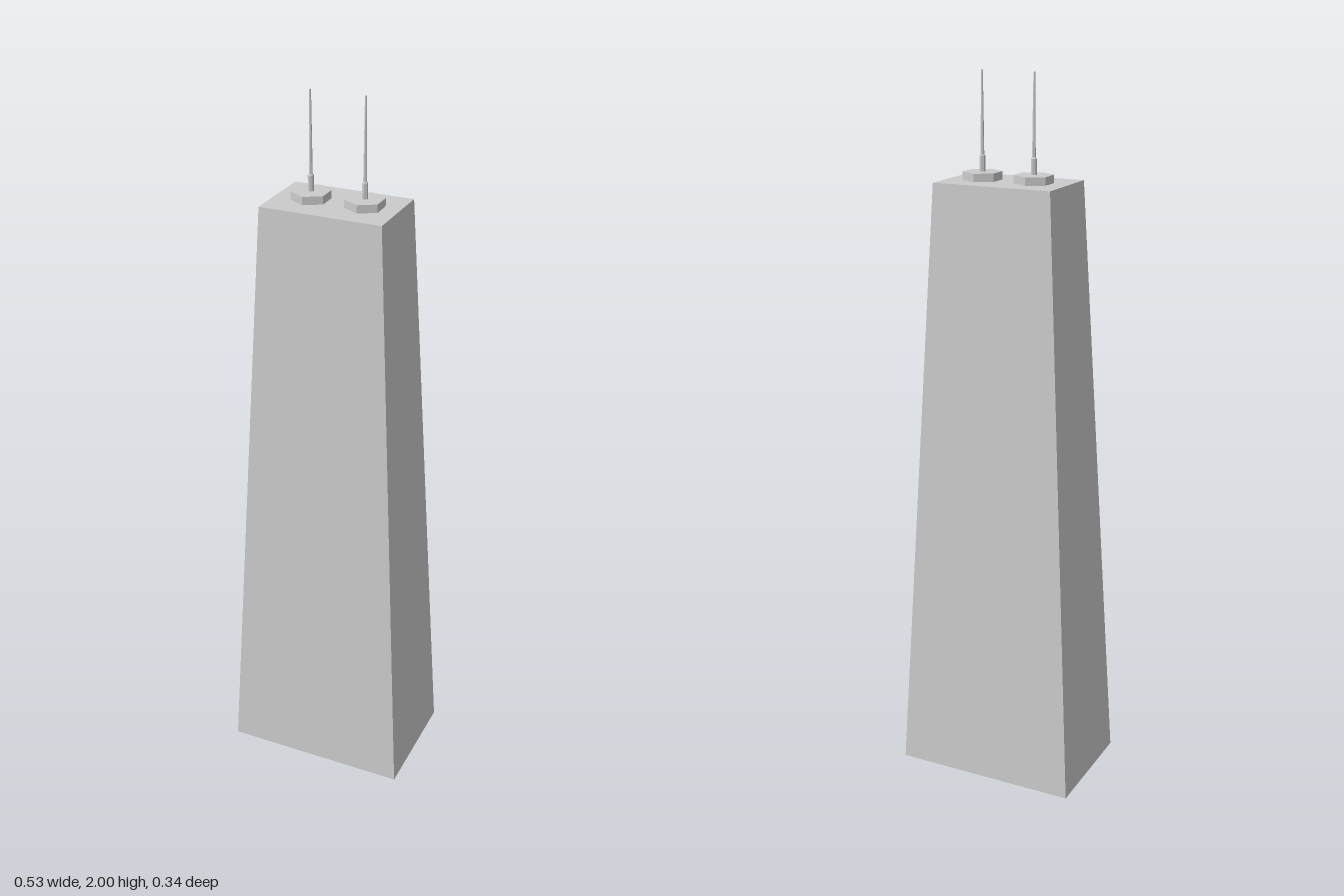
import * as THREE from 'three';

const BASE_W = 0.528, BASE_D = 0.337, ROOF_Y = 1.715, TAPER = 0.643;

const material = new THREE.MeshStandardMaterial({
  color: 0xcccccc, flatShading: true, side: THREE.DoubleSide,
});

function addMesh(parent, name, geometry, x = 0, y = 0, z = 0) {
  const mesh = new THREE.Mesh(geometry, material);
  mesh.name = name;
  mesh.position.set(x, y, z);
  parent.add(mesh);
  return mesh;
}

// Tapered box shell, open underneath
function towerGeometry() {
  const geo = new THREE.BoxGeometry(BASE_W, ROOF_Y, BASE_D);
  geo.translate(0, ROOF_Y / 2, 0);
  const p = geo.attributes.position;
  for (let i = 0; i < p.count; i++) {
    const s = THREE.MathUtils.lerp(1, TAPER, p.getY(i) / ROOF_Y);
    p.setX(i, p.getX(i) * s);
    p.setZ(i, p.getZ(i) * s);
  }
  // Drop the bottom face, the fourth side of the box
  const index = Array.from(geo.index.array);
  index.splice(18, 6);
  geo.setIndex(index);
  geo.clearGroups();
  geo.computeVertexNormals();
  return geo;
}

export function createModel() {
  const model = new THREE.Group();
  model.name = 'skyscraper';

  addMesh(model, 'tower', towerGeometry());

  // Two hexagonal plinths on the roof, each with a stepped mast
  const plinthH = 0.022;
  const plinth = new THREE.CylinderGeometry(0.0535, 0.0535, plinthH, 6);
  const mastProfile = [
    [0.008, 0], [0.008, 0.042], [0.005, 0.045], [0.0025, 0.263], [0, 0.263],
  ].map(([r, y]) => new THREE.Vector2(r, y));
  const mast = new THREE.LatheGeometry(mastProfile, 6);

  for (const [side, x] of [['right', -0.0735], ['left', 0.0775]]) {
    const antenna = new THREE.Group();
    antenna.name = side + 'Antenna';
    antenna.position.set(x, ROOF_Y, -0.001);
    addMesh(antenna, side + 'Plinth', plinth, 0, plinthH / 2);
    addMesh(antenna, side + 'Mast', mast, 0, plinthH);
    model.add(antenna);
  }
  return model;
}
